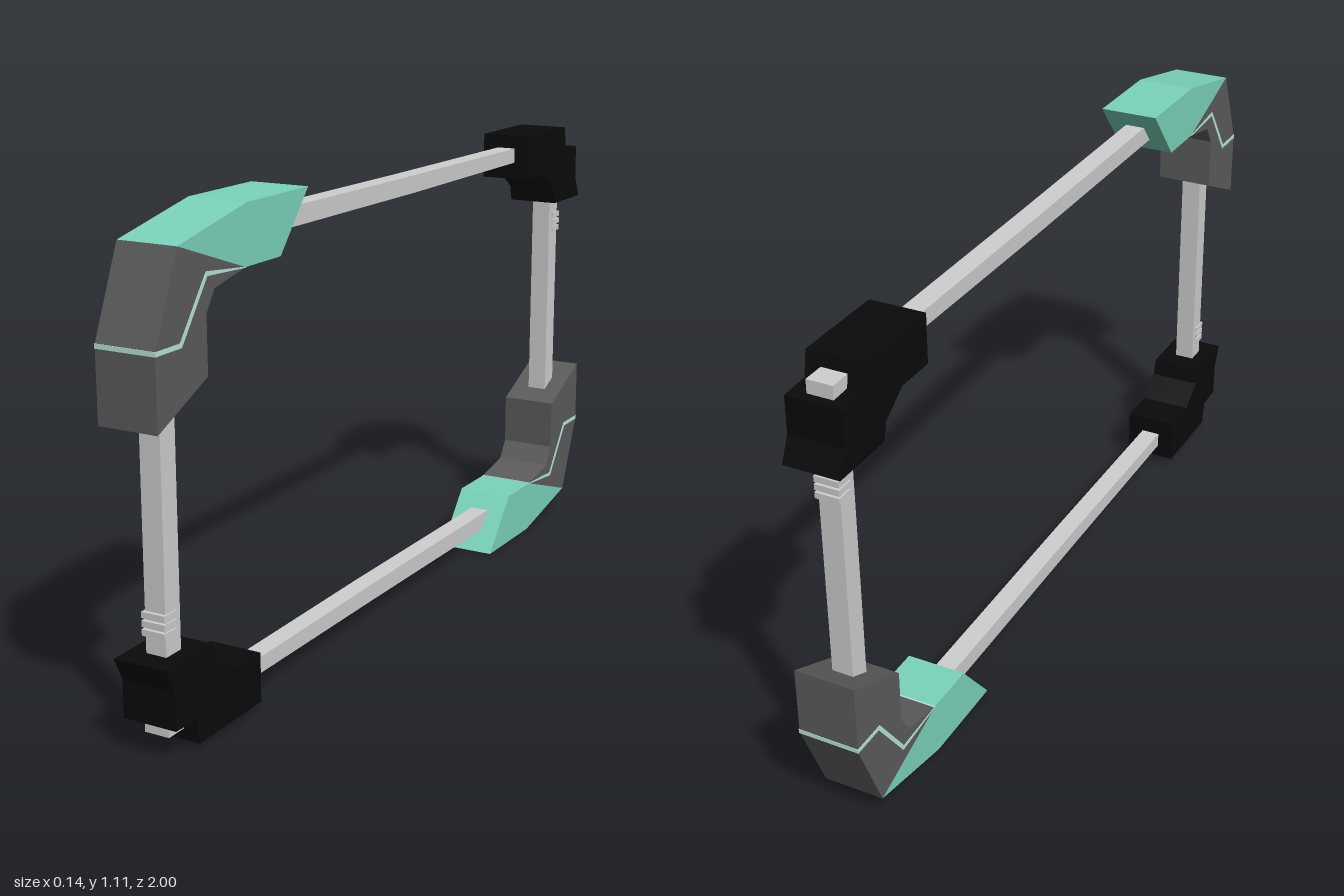
import * as THREE from 'three';

const material = (name, color) => {
  const m = new THREE.MeshStandardMaterial({ color });
  m.name = name;
  return m;
};

export function createModel() {
  const teal = material('teal', 0x7ad4bc);
  const darkGrey = material('dark grey', 0x5c5c5c);
  const black = material('black', 0x0a0a0a);
  const lightGrey = material('light grey', 0xcfcfcf);
  const pale = material('pale teal', 0xb8e6d8);

  // Side profile given as [z, y] points, extruded across x
  const slab = (name, points, width, mat) => {
    const shape = new THREE.Shape(points.map(([z, y]) => new THREE.Vector2(z, y)));
    const geo = new THREE.ExtrudeGeometry(shape, { depth: width, bevelEnabled: false });
    geo.translate(0, 0, -width / 2).rotateY(-Math.PI / 2);
    const mesh = new THREE.Mesh(geo, mat);
    mesh.name = name;
    return mesh;
  };

  // Half of the frame: one long rail, one upright and two corners
  const half = new THREE.Group();
  half.name = 'upperFrontHalf';

  half.add(
    slab('cornerCap', [[0.92, 1.06], [0.68, 1.11], [0.45, 1.11], [0.56, 0.98], [0.69, 0.98]], 0.142, teal),
    slab('cornerGuard', [[1, 0.708], [1, 0.87], [0.92, 1.06], [0.69, 0.98], [0.8, 0.958],
      [0.83, 0.912], [0.83, 0.786]], 0.142, darkGrey),
    slab('cornerStripe', [[1.001, 0.862], [1.001, 0.872], [0.92, 0.872], [0.829, 0.996], [0.69, 0.981],
      [0.69, 0.979], [0.825, 0.986], [0.915, 0.862]], 0.144, pale),
    slab('cornerClamp', [[0.99, 0.22], [0.83, 0.22], [0.82, 0.18], [0.755, 0.134], [0.655, 0.134],
      [0.655, 0.02], [0.885, 0.02], [0.895, 0.077], [0.965, 0.08], [0.965, 0.165]], 0.13, black),
    slab('rail', [[0.56, 1.018], [0.56, 1.063], [-0.1, 1.058], [-0.8, 1.056], [-0.8, 1.02], [-0.1, 1.016]],
      0.048, lightGrey),
    slab('upright', [[0.935, 0.2], [0.932, 0.8], [0.882, 0.8], [0.885, 0.2]], 0.05, lightGrey),
    slab('uprightFoot', [[0.942, 0.048], [0.942, 0.1], [0.89, 0.1], [0.89, 0.048]], 0.06, lightGrey),
  );

  // Grip ribs on the outer face of the upright
  for (let i = 0; i < 3; i++) {
    const rib = new THREE.Mesh(new THREE.BoxGeometry(0.057, 0.014, 0.042), lightGrey);
    rib.name = 'uprightRib';
    rib.position.set(0, 0.267 + i * 0.019, 0.922);
    half.add(rib);
  }

  // The other half is the same, turned half round about the x axis
  const other = half.clone();
  other.name = 'lowerBackHalf';
  other.rotation.x = Math.PI;
  other.position.y = 1.11;

  const model = new THREE.Group();
  model.name = 'frame';
  model.add(half, other);
  return model;
}
